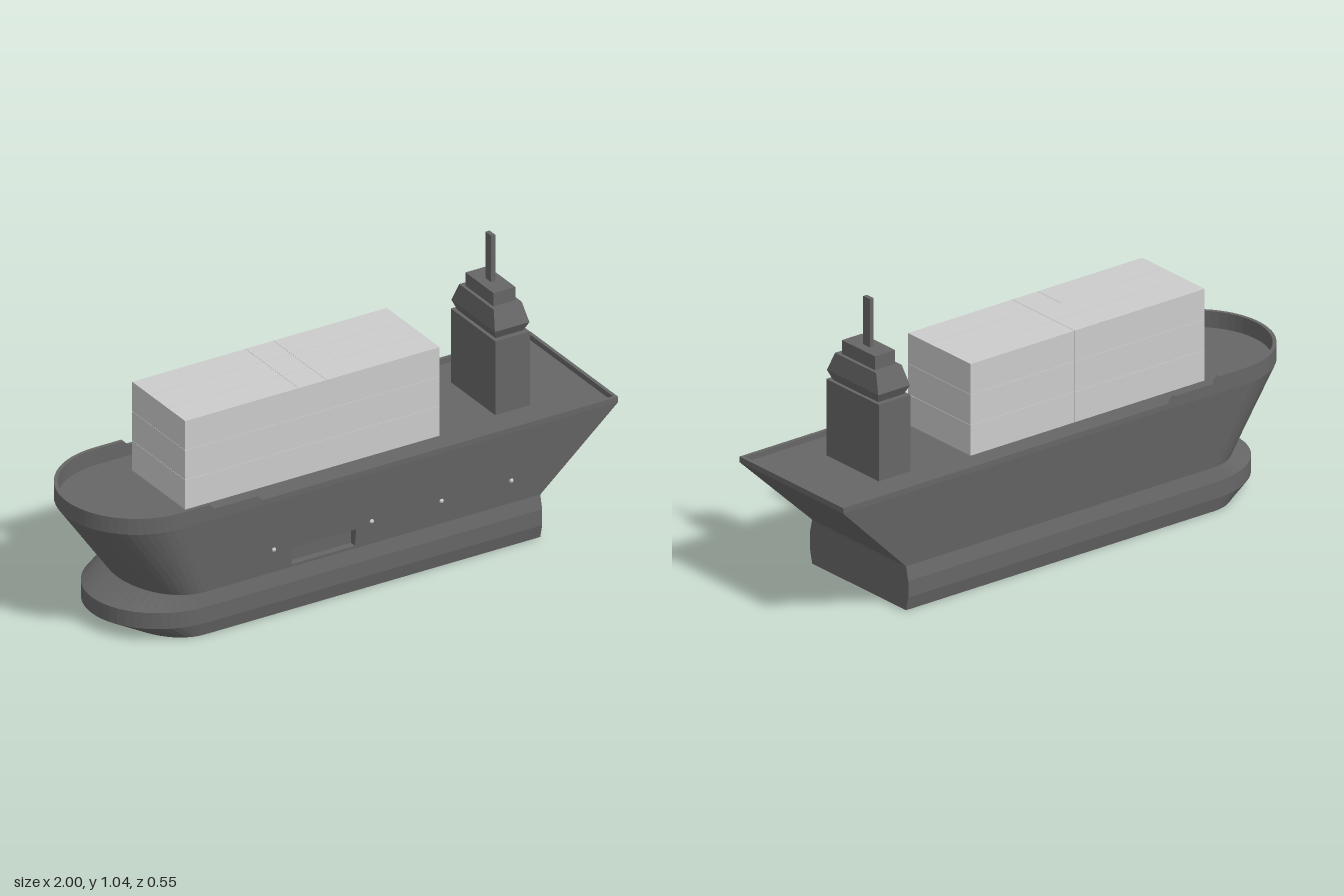
import * as THREE from 'three';

const dark = new THREE.MeshStandardMaterial({ color: 0x666666, flatShading: true });
const light = new THREE.MeshStandardMaterial({ color: 0xcccccc, flatShading: true });

// Fixed stations along the straight sides, stern to bow
const STATIONS = [-0.02, -0.27, -0.4, -0.42, -0.59, -0.61];
const ARC = 28;
const DECK = 0.44;

// One horizontal outline: straight sides, elliptical bow, square stern
function outline({ bow, shoulder, stern, half, y }) {
  const height = typeof y === 'function' ? y : () => y;
  const side = [stern, ...STATIONS].map(x => [x, half]);
  const arc = [];
  for (let i = 0; i <= ARC; i++) {
    const t = (i / ARC) * Math.PI;
    arc.push([shoulder - (shoulder - bow) * Math.sin(t), half * Math.cos(t)]);
  }
  const back = side.map(([x, z]) => [x, -z]).reverse();
  return [...side, ...arc, ...back].map(([x, z]) => new THREE.Vector3(x, height(x), z));
}

function fromTriangles(points) {
  const geometry = new THREE.BufferGeometry().setFromPoints(points);
  geometry.computeVertexNormals();
  return geometry;
}

// Skin consecutive loops; skip(row, column) leaves openings
function loft(rows, skip = () => false) {
  const tris = [];
  const n = rows[0].length;
  for (let i = 0; i < rows.length - 1; i++) {
    for (let j = 0; j < n; j++) {
      if (skip(i, j)) continue;
      const k = (j + 1) % n;
      const a = rows[i][j], b = rows[i][k], c = rows[i + 1][k], d = rows[i + 1][j];
      tris.push(a, c, b, a, d, c);
    }
  }
  return tris;
}

// Flat cap over a convex loop
function cap(loop, up) {
  const centre = new THREE.Vector3(0, loop[0].y, 0);
  return loop.flatMap((p, i) => {
    const q = loop[(i + 1) % loop.length];
    return up ? [centre, q, p] : [centre, p, q];
  });
}

// Rail height: tall around the bow, stepping down towards the stern
function railHeight(x) {
  if (x <= -0.605) return 0.5;
  if (x <= -0.415) return 0.48;
  return 0.46;
}

// Cross-section of the upper hull at height y
function upperHull(y) {
  const t = (y - 0.16) / (DECK - 0.16);
  const mix = (a, b) => THREE.MathUtils.lerp(a, b, t);
  return { bow: mix(-0.8, -1), shoulder: mix(-0.61, -0.72), stern: mix(0.71, 1), half: mix(0.25, 0.277), y };
}

export function createModel() {
  const ship = new THREE.Group();
  ship.name = 'cargoShip';

  function add(name, geometry, material, x = 0, y = 0, z = 0, parent = ship) {
    const mesh = new THREE.Mesh(geometry, material);
    mesh.name = name;
    mesh.position.set(x, y, z);
    parent.add(mesh);
    return mesh;
  }

  // Hull with bulging foot, flared bow and raked transom
  const foot = { shoulder: -0.61, stern: 0.71 };
  const hullRows = [
    { ...foot, bow: -0.8, half: 0.25, y: 0 },
    { ...foot, bow: -0.9, half: 0.262, y: 0.05 },
    { ...foot, bow: -0.9, half: 0.262, y: 0.11 },
    upperHull(0.16), upperHull(0.17), upperHull(0.235), upperHull(DECK),
  ].map(outline);
  // The opening for the side hatch lies between the first two stations
  const hull = loft(hullRows, (row, column) => row === 4 && column === 1);
  add('hull', fromTriangles([...hull, ...cap(hullRows[0], false)]), dark);

  // Recessed side hatch
  const mouth = [hullRows[4][1], hullRows[4][2], hullRows[5][2], hullRows[5][1]];
  const rear = mouth.map(p => new THREE.Vector3(p.x, p.y, 0.225));
  const pocket = dark.clone();
  pocket.side = THREE.DoubleSide;
  add('sideHatch', fromTriangles([
    ...loft([mouth, rear]),
    rear[0], rear[2], rear[1], rear[0], rear[3], rear[2],
  ]), pocket);

  // Bulwark rail and sunken deck
  const top = upperHull(DECK);
  const inner = { bow: top.bow + 0.013, shoulder: top.shoulder, stern: top.stern - 0.013, half: top.half - 0.013 };
  const railRows = [
    top, { ...top, y: railHeight }, { ...inner, y: railHeight }, { ...inner, y: DECK },
  ].map(outline);
  add('rail', fromTriangles(loft(railRows)), dark);
  add('deck', fromTriangles(cap(railRows[3], true)), dark);

  // Cargo stack: three tiers, three abreast, long-short-long
  const cargo = new THREE.Group();
  cargo.name = 'cargo';
  ship.add(cargo);
  const size = 0.1115, gap = 0.001;
  for (const [x, length] of [[-0.413, 0.447], [-0.1345, 0.11], [0.1435, 0.446]]) {
    for (let tier = 0; tier < 3; tier++) {
      for (let row = -1; row <= 1; row++) {
        add('container', new THREE.BoxGeometry(length - gap, size - gap, size - gap), light,
          x, DECK + size * (tier + 0.5), row * size, cargo);
      }
    }
  }

  // Bridge tower at the stern
  const tower = new THREE.Group();
  tower.name = 'bridgeTower';
  tower.position.x = 0.67;
  ship.add(tower);
  add('towerBlock', new THREE.BoxGeometry(0.136, 0.278, 0.28), dark, 0, 0.579, 0, tower);
  const ring = ([y, hx, hz]) => [[hx, hz], [-hx, hz], [-hx, -hz], [hx, -hz]]
    .map(([x, z]) => new THREE.Vector3(x, y, z));
  const cabin = [[0.718, 0.055, 0.12], [0.752, 0.068, 0.137], [0.82, 0.055, 0.109]].map(ring);
  add('wheelhouse', fromTriangles([...loft(cabin), ...cap(cabin[2], true)]), dark, 0, 0, 0, tower);
  add('upperCabin', new THREE.BoxGeometry(0.086, 0.05, 0.176), dark, 0, 0.845, 0, tower);
  add('mast', new THREE.BoxGeometry(0.016, 0.175, 0.036), dark, 0, 0.9575, 0, tower);

  // Small side lamps
  for (const x of [-0.345, 0.04, 0.315, 0.59]) {
    add('sideLamp', new THREE.SphereGeometry(0.008, 10, 8), light, x, 0.25, 0.259);
  }
  return ship;
}
